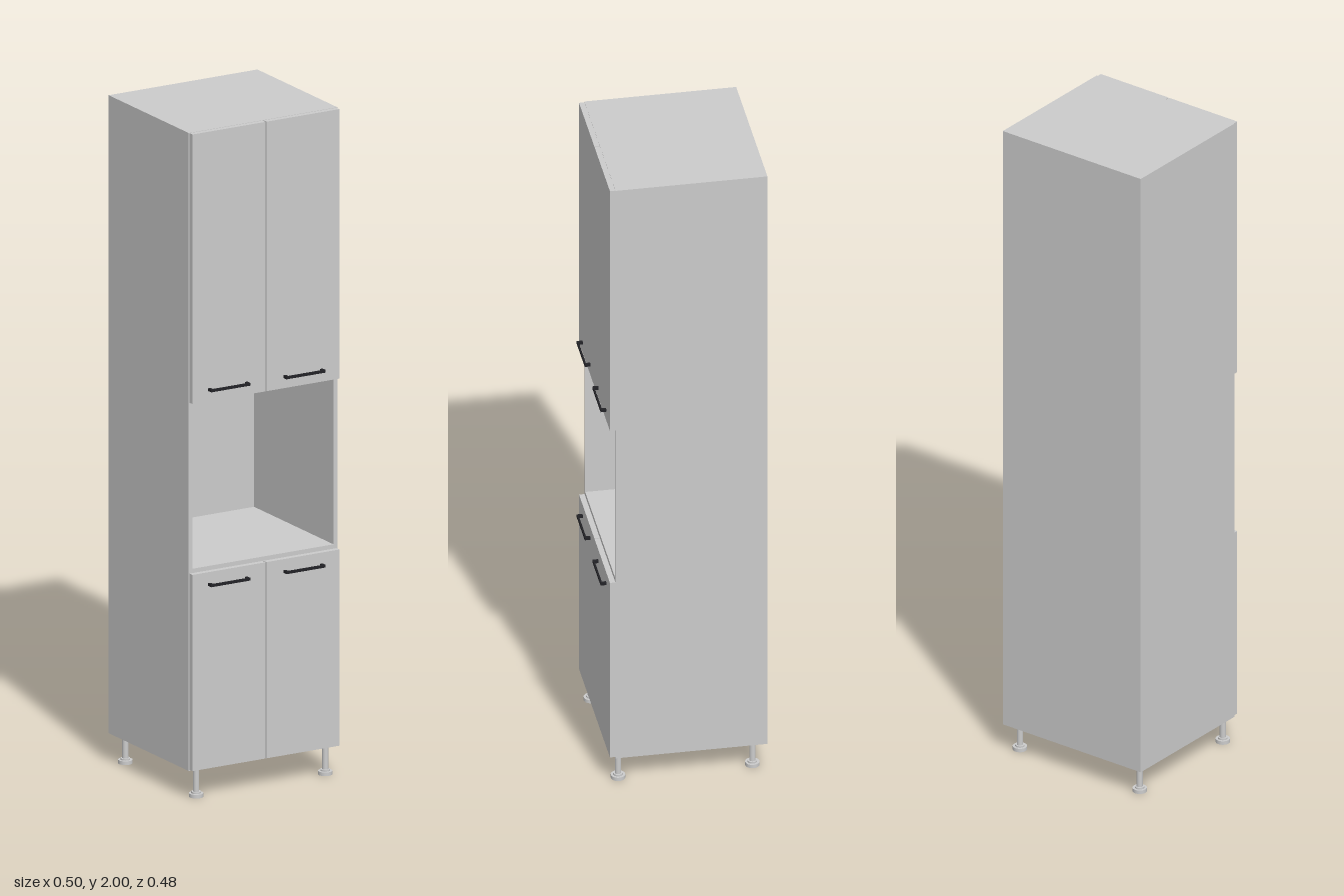
import * as THREE from 'three';

const grey = new THREE.MeshStandardMaterial({ color: 0xcccccc });
const dark = new THREE.MeshStandardMaterial({ color: 0x222226 });

// Box given by its lower and upper corners
function box(parent, name, [x0, y0, z0], [x1, y1, z1], material = grey) {
  const mesh = new THREE.Mesh(new THREE.BoxGeometry(x1 - x0, y1 - y0, z1 - z0), material);
  mesh.name = name;
  mesh.position.set((x0 + x1) / 2, (y0 + y1) / 2, (z0 + z1) / 2);
  parent.add(mesh);
}

function cylinder(parent, name, radius, y0, y1) {
  const mesh = new THREE.Mesh(new THREE.CylinderGeometry(radius, radius, y1 - y0, 24), grey);
  mesh.name = name;
  mesh.position.y = (y0 + y1) / 2;
  parent.add(mesh);
}

const W = 0.25, T = 0.013;          // half width, board thickness
const BOTTOM = 0.085, TOP = 2;
const BACK = -0.238, FRONT = 0.203, DOOR = 0.219;

function createCarcass() {
  const g = new THREE.Group();
  g.name = 'carcass';
  const inner = W - T;
  box(g, 'bottomPanel', [-W, BOTTOM, BACK], [W, BOTTOM + T, FRONT]);
  for (const s of [-1, 1]) {
    const a = s < 0 ? -W : inner;
    box(g, s < 0 ? 'rightSide' : 'leftSide', [a, BOTTOM + T, BACK], [a + T, TOP, FRONT]);
  }
  box(g, 'topPanel', [-inner, TOP - T, BACK], [inner, TOP, FRONT]);
  box(g, 'nicheFloor', [-inner, 0.677, BACK], [inner, 0.69, FRONT]);
  box(g, 'nicheCeiling', [-inner, 1.187, BACK], [inner, 1.2, FRONT]);
  box(g, 'backPanel', [-W, BOTTOM, BACK - 0.003], [W, TOP, BACK]);
  return g;
}

// Slim bar pull on two posts
function createHandle(x, y) {
  const g = new THREE.Group();
  g.name = 'handle';
  const half = 0.066, h = 0.004, out = 0.236;
  box(g, 'handleBar', [-half, -h, out - 0.005], [half, h, out], dark);
  for (const s of [-1, 1]) {
    const px = s * (half - 0.0045);
    box(g, 'handlePost', [px - 0.0045, -h, DOOR], [px + 0.0045, h, out - 0.005], dark);
  }
  g.position.set(x, y, 0);
  return g;
}

function createDoors(name, y0, y1, handleY) {
  const g = new THREE.Group();
  g.name = name;
  for (const s of [-1, 1]) {
    const a = s < 0 ? -0.247 : 0.0015;
    box(g, s < 0 ? 'rightDoor' : 'leftDoor', [a, y0, FRONT], [a + 0.2455, y1, DOOR]);
    g.add(createHandle(s < 0 ? -0.128 : 0.125, handleY));
  }
  return g;
}

// Adjustable leg: stem on a round foot with a stepped collar
function createLeg(x, z) {
  const g = new THREE.Group();
  g.name = 'leg';
  cylinder(g, 'foot', 0.021, 0, 0.011);
  cylinder(g, 'collar', 0.014, 0.011, 0.016);
  cylinder(g, 'stem', 0.009, 0.016, BOTTOM);
  g.position.set(x, 0, z);
  return g;
}

export function createModel() {
  const model = new THREE.Group();
  model.name = 'tallCabinet';
  model.add(createCarcass());
  model.add(createDoors('upperDoors', 1.19, 1.999, 1.225));
  model.add(createDoors('lowerDoors', 0.088, 0.677, 0.64));
  for (const x of [-0.217, 0.217])
    for (const z of [-0.203, 0.19]) model.add(createLeg(x, z));
  return model;
}
